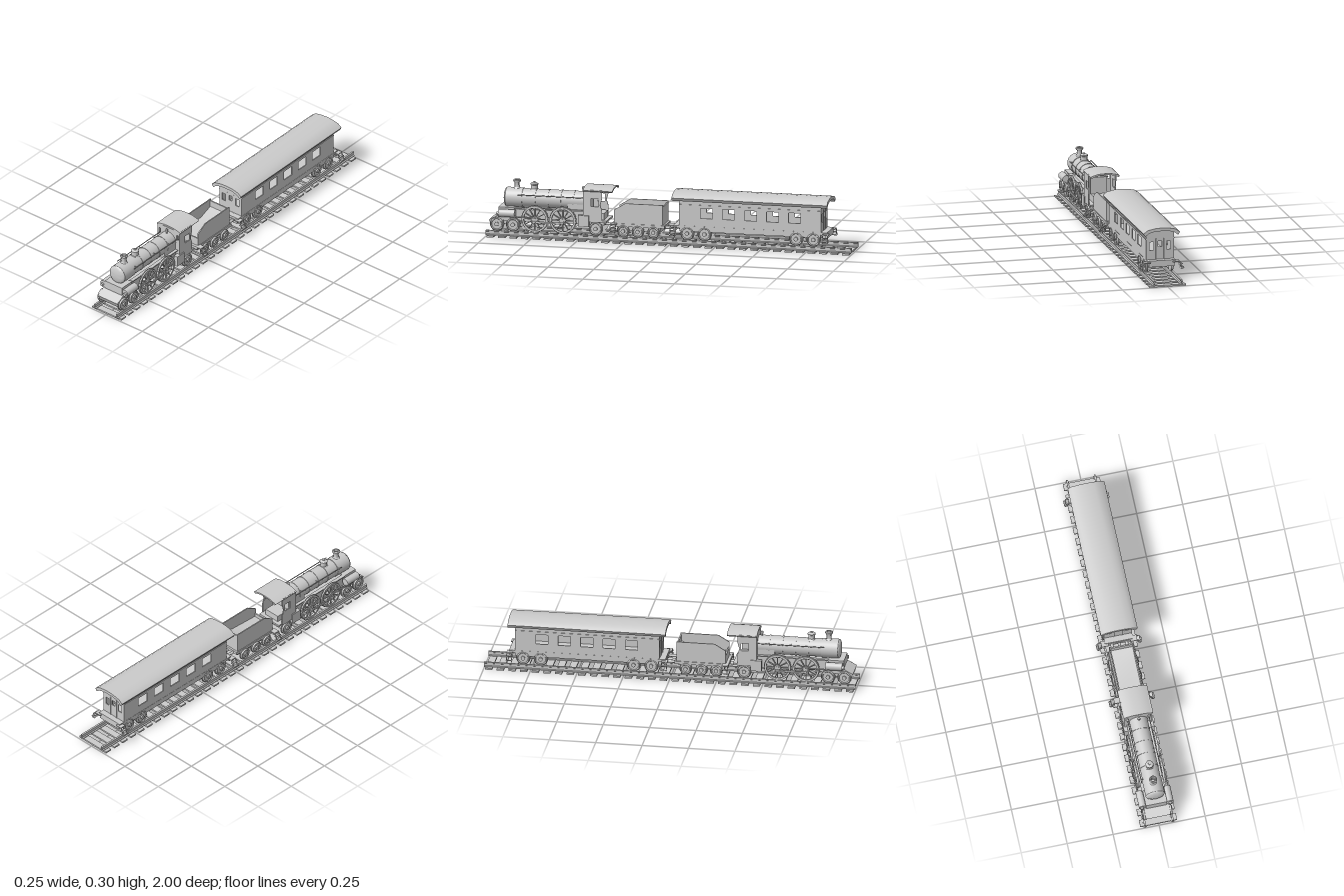
import * as THREE from 'three';
import { toCreasedNormals } from 'three/addons/utils/BufferGeometryUtils.js';

const mat = new THREE.MeshStandardMaterial({ color: 0xcccccc, side: THREE.DoubleSide });
const V2 = (p) => new THREE.Vector2(p[0], p[1]);

function add(parent, name, geo, x = 0, y = 0, z = 0) {
  const m = new THREE.Mesh(geo, mat);
  m.name = name;
  m.position.set(x, y, z);
  parent.add(m);
  return m;
}
function group(parent, name) {
  const g = new THREE.Group();
  g.name = name;
  parent.add(g);
  return g;
}
// Box given by its extents
function box(parent, name, x0, x1, y0, y1, z0, z1) {
  return add(parent, name, new THREE.BoxGeometry(x1 - x0, y1 - y0, z1 - z0), (x0 + x1) / 2, (y0 + y1) / 2, (z0 + z1) / 2);
}
const rectHole = (cx, cy, w, h) => [[cx - w / 2, cy - h / 2], [cx - w / 2, cy + h / 2], [cx + w / 2, cy + h / 2], [cx + w / 2, cy - h / 2]];
function extrude(points, depth, holes) {
  const s = new THREE.Shape(points.map(V2));
  for (const h of holes) s.holes.push(new THREE.Path(h.map(V2)));
  return toCreasedNormals(new THREE.ExtrudeGeometry(s, { depth, bevelEnabled: false }), 0.5);
}
// Cross-section (x, y) swept from z0 to z1
const sweepZ = (parent, name, pts, z0, z1, holes = []) => add(parent, name, extrude(pts, z1 - z0, holes), 0, 0, z0);
// Side profile (z, y) swept from x0 to x1
const sweepX = (parent, name, pts, x0, x1, holes = []) =>
  add(parent, name, extrude(pts, x1 - x0, holes).rotateY(-Math.PI / 2), x1, 0, 0);
// Cylinders along z and x
const tubeZ = (parent, name, r, x, y, z0, z1, n = 24) =>
  add(parent, name, new THREE.CylinderGeometry(r, r, z1 - z0, n).rotateX(Math.PI / 2), x, y, (z0 + z1) / 2);
const tubeX = (parent, name, r, x0, x1, y, z, n = 24) =>
  add(parent, name, new THREE.CylinderGeometry(r, r, x1 - x0, n).rotateZ(Math.PI / 2), (x0 + x1) / 2, y, z);
const lathe = (parent, name, pts, x, y, z) =>
  add(parent, name, toCreasedNormals(new THREE.LatheGeometry(pts.map(V2), 28), 0.6), x, y, z);

// Pair of solid wheels with flange and hub
function smallWheels(parent, z, r = 0.035) {
  const g = group(parent, 'smallWheelset');
  const y = 0.035 + r;
  tubeX(g, 'axle', 0.007, -0.08, 0.08, y, z, 12);
  for (const s of [-1, 1]) {
    const part = (name, rad, a, b) => tubeX(g, name, rad, Math.min(s * a, s * b), Math.max(s * a, s * b), y, z, 28);
    part('flange', r + 0.004, 0.064, 0.068);
    part('disc', r - 0.006, 0.068, 0.075);
    part('hub', 0.011, 0.068, 0.083);
    const rim = add(g, 'tyre', new THREE.TorusGeometry(r - 0.004, 0.005, 8, 28).rotateY(Math.PI / 2), s * 0.073, y, z);
    rim.scale.x = 1.2;
  }
}
// Pair of open spoked driving wheels
function drivingWheels(parent, z) {
  const g = group(parent, 'drivingWheelset');
  const y = 0.106, r = 0.071;
  tubeX(g, 'axle', 0.009, -0.082, 0.082, y, z, 14);
  for (const s of [-1, 1]) {
    const rim = [[r - 0.011, -0.005], [r + 0.003, -0.005], [r + 0.003, -0.002], [r, -0.002], [r, 0.006], [r - 0.011, 0.006], [r - 0.011, -0.005]];
    lathe(g, 'rim', rim, s * 0.071, y, z).rotation.z = -s * Math.PI / 2;
    tubeX(g, 'hub', 0.016, s * 0.071 - 0.008, s * 0.071 + 0.008, y, z);
    for (let i = 0; i < 12; i++) {
      const a = i * Math.PI / 6;
      const spoke = add(g, 'spoke', new THREE.BoxGeometry(0.006, 0.052, 0.005), s * 0.071, y + Math.cos(a) * 0.038, z + Math.sin(a) * 0.038);
      spoke.rotation.x = a;
    }
  }
}
// Splayed step ladders on both sides
function steps(parent, z) {
  for (const s of [-1, 1]) {
    const g = group(parent, 'steps');
    g.position.set(s * 0.096, 0.105, z);
    g.rotation.z = s * 0.42;
    for (const dz of [-0.014, 0.014]) box(g, 'stepRail', -0.003, 0.003, -0.048, 0, dz - 0.002, dz + 0.002);
    for (const y of [-0.044, -0.022]) box(g, 'tread', -0.01, 0.01, y, y + 0.004, -0.016, 0.016);
    box(parent, 'stepBracket', Math.min(s * 0.06, s * 0.097), Math.max(s * 0.06, s * 0.097), 0.1, 0.106, z - 0.016, z + 0.016);
  }
}
// Arched roof section with drooping eaves
function roofSection(w, top, drop, thick) {
  const up = [], low = [];
  for (let i = 0; i <= 12; i++) {
    const t = i / 6 - 1, y = top - drop * Math.pow(Math.abs(t), 2.4);
    up.push([t * w, y]);
    low.unshift([t * w * 0.92, y - thick]);
  }
  return [...up, ...low];
}

function buildTrack(root) {
  const g = group(root, 'track');
  for (let i = 0; i < 32; i++) {
    const z = -0.972 + i * 0.0627;
    box(g, 'sleeper', -0.1, 0.1, 0, 0.009, z - 0.019, z + 0.019);
  }
  const rail = [[-0.008, 0.009], [0.008, 0.009], [0.008, 0.012], [0.002, 0.015], [0.002, 0.027], [0.005, 0.029], [0.005, 0.035], [-0.005, 0.035], [-0.005, 0.029], [-0.002, 0.027], [-0.002, 0.015], [-0.008, 0.012]];
  for (const s of [-1, 1]) sweepZ(g, 'rail', rail.map(([x, y]) => [x + s * 0.075, y]), -1, 1);
}

function buildLocomotive(root) {
  const g = group(root, 'locomotive');
  // Boiler with rounded smokebox door and bands
  tubeZ(g, 'boiler', 0.049, 0, 0.206, 0.46, 0.83, 36);
  tubeZ(g, 'smokebox', 0.052, 0, 0.206, 0.81, 0.9, 36);
  lathe(g, 'smokeboxDoor', [[0.052, 0], [0.048, 0.006], [0.036, 0.011], [0.018, 0.014], [0, 0.015]], 0, 0.206, 0.9).rotation.x = Math.PI / 2;
  for (const z of [0.53, 0.6, 0.67, 0.74]) tubeZ(g, 'boilerBand', 0.051, 0, 0.206, z - 0.004, z + 0.004, 36);
  // Chimney, dome and whistle
  lathe(g, 'chimney', [[0.021, 0], [0.014, 0.01], [0.013, 0.034], [0.017, 0.036], [0.021, 0.043], [0.021, 0.047], [0.016, 0.051], [0.011, 0.051], [0.01, 0.03]], 0, 0.252, 0.846);
  lathe(g, 'dome', [[0.024, 0], [0.018, 0.007], [0.018, 0.027], [0.021, 0.029], [0.021, 0.034], [0.015, 0.039], [0.007, 0.041], [0.006, 0.045], [0, 0.046]], 0, 0.25, 0.752);
  lathe(g, 'whistle', [[0.004, 0], [0.004, 0.014], [0.007, 0.015], [0.007, 0.026], [0, 0.03]], 0, 0.252, 0.485);
  // Frame, saddle and front deck
  box(g, 'frame', -0.045, 0.045, 0.085, 0.15, 0.36, 0.9);
  box(g, 'firebox', -0.047, 0.047, 0.11, 0.206, 0.46, 0.56);
  box(g, 'smokeboxSaddle', -0.058, 0.058, 0.115, 0.16, 0.85, 0.935);
  sweepX(g, 'frontApron', [[0.87, 0.114], [0.94, 0.114], [0.985, 0.089], [0.968, 0.057], [0.955, 0.057], [0.93, 0.09], [0.87, 0.09]], -0.067, 0.067);
  for (const s of [-1, 1]) {
    // Cylinders, rods and running boards
    tubeZ(g, 'steamCylinder', 0.021, s * 0.073, 0.131, 0.84, 0.93, 24);
    tubeZ(g, 'cylinderCap', 0.009, s * 0.077, 0.129, 0.93, 0.94, 12);
    tubeZ(g, 'pistonRod', 0.004, s * 0.083, 0.115, 0.73, 0.85, 10);
    box(g, 'couplingRod', s * 0.084 - 0.003, s * 0.084 + 0.003, 0.087, 0.096, 0.57, 0.75);
    for (const z of [0.58, 0.733]) tubeX(g, 'crankPin', 0.007, s * 0.08 - 0.008, s * 0.08 + 0.008, 0.0915, z, 12);
    box(g, 'runningBoard', s * 0.053 - 0.01, s * 0.053 + 0.01, 0.157, 0.163, 0.46, 0.85);
    // Handrail and its posts
    tubeZ(g, 'handrail', 0.0025, s * 0.058, 0.23, 0.47, 0.83, 8);
    for (const z of [0.53, 0.65, 0.81]) tubeX(g, 'handrailPost', 0.002, s * 0.05 - 0.01, s * 0.05 + 0.01, 0.23, z, 8);
    box(g, 'sideBox', s * 0.07 - 0.012, s * 0.07 + 0.012, 0.08, 0.14, 0.436, 0.495);
    // Cab side with window
    sweepX(g, 'cabSide', [[0.365, 0.105], [0.465, 0.105], [0.465, 0.28], [0.365, 0.28], [0.365, 0.235], [0.375, 0.2], [0.365, 0.17]], s * 0.073 - 0.003, s * 0.073 + 0.003, [rectHole(0.404, 0.212, 0.042, 0.043)]);
  }
  // Cab front, floor and roof
  sweepZ(g, 'cabFront', [[-0.075, 0.105], [0.075, 0.105], [0.075, 0.28], [-0.075, 0.28]], 0.46, 0.468, [rectHole(-0.06, 0.24, 0.012, 0.03), rectHole(0.06, 0.24, 0.012, 0.03)]);
  box(g, 'cabFloor', -0.073, 0.073, 0.105, 0.115, 0.34, 0.465);
  box(g, 'boilerBackhead', -0.045, 0.045, 0.115, 0.24, 0.44, 0.462);
  sweepZ(g, 'cabRoof', roofSection(0.081, 0.292, 0.015, 0.008), 0.308, 0.469);
  // Wheels and bogie frames
  for (const z of [0.94, 0.852, 0.4]) smallWheels(g, z);
  for (const z of [0.733, 0.58]) drivingWheels(g, z);
  box(g, 'bogieFrame', -0.05, 0.05, 0.065, 0.09, 0.82, 0.95);
}

function buildTender(root) {
  const g = group(root, 'tender');
  // Open coal bunker
  const side = [[0.035, 0.1], [0.3, 0.1], [0.3, 0.178], [0.24, 0.214], [0.035, 0.214]];
  for (const s of [-1, 1]) sweepX(g, 'bunkerSide', side, s * 0.063 - 0.003, s * 0.063 + 0.003);
  box(g, 'bunkerBack', -0.063, 0.063, 0.1, 0.205, 0.035, 0.042);
  box(g, 'bunkerFront', -0.063, 0.063, 0.1, 0.15, 0.293, 0.3);
  sweepX(g, 'bunkerFloor', [[0.04, 0.1], [0.296, 0.1], [0.296, 0.13], [0.12, 0.14], [0.04, 0.17]], -0.062, 0.062);
  box(g, 'tenderSill', -0.07, 0.07, 0.088, 0.104, 0.025, 0.315);
  box(g, 'tenderFrame', -0.05, 0.05, 0.062, 0.09, 0.05, 0.29);
  for (const z of [0.25, 0.17, 0.085]) smallWheels(g, z, 0.03);
  steps(g, 0.3);
  tubeZ(g, 'frontCoupling', 0.008, 0, 0.085, 0.28, 0.37, 10);
}

function buildCarriage(root) {
  const g = group(root, 'carriage');
  const z0 = -0.833, z1 = -0.056;
  // Side walls with five windows
  const windows = [];
  for (let i = 0; i < 5; i++) windows.push(rectHole(-0.206 - i * 0.1205, 0.183, 0.066, 0.054));
  for (const s of [-1, 1]) {
    sweepX(g, 'sideWall', [[z0, 0.105], [z1, 0.105], [z1, 0.27], [z0, 0.27]], s * 0.073 - 0.003, s * 0.073 + 0.003, windows);
    box(g, 'beltRail', s * 0.077 - 0.002, s * 0.077 + 0.002, 0.222, 0.228, z0, z1);
  }
  // End walls with a door and two windows
  const endHoles = [rectHole(-0.047, 0.185, 0.024, 0.044), rectHole(0.047, 0.185, 0.024, 0.044), rectHole(0, 0.195, 0.022, 0.03)];
  for (const [a, b, out] of [[z0, z0 + 0.006, -1], [z1 - 0.006, z1, 1]]) {
    sweepZ(g, 'endWall', [[-0.073, 0.105], [0.073, 0.105], [0.073, 0.272], [0, 0.284], [-0.073, 0.272]], a, b, endHoles);
    const zf = out > 0 ? b : a;
    for (const x of [-0.022, 0.022]) box(g, 'doorPost', x - 0.002, x + 0.002, 0.11, 0.225, zf - 0.003, zf + 0.003);
  }
  // Roof, floor and underframe
  const roof = [[-0.1, 0.264], [-0.078, 0.281], [-0.04, 0.289], [0, 0.292], [0.04, 0.289], [0.078, 0.281], [0.1, 0.264], [0.091, 0.248], [0.07, 0.264], [0.035, 0.274], [-0.035, 0.274], [-0.07, 0.264], [-0.091, 0.248]];
  sweepZ(g, 'roof', roof.reverse(), -0.87, -0.02);
  box(g, 'floor', -0.077, 0.077, 0.098, 0.112, -0.865, -0.024);
  for (const s of [-1, 1]) box(g, 'sideSill', s * 0.071 - 0.005, s * 0.071 + 0.005, 0.082, 0.098, -0.83, -0.06);
  box(g, 'underframe', -0.045, 0.045, 0.07, 0.1, -0.82, -0.07);
  for (const z of [-0.1, -0.195, -0.695, -0.79]) smallWheels(g, z);
  // End steps and buffers
  for (const z of [-0.027, -0.86]) {
    steps(g, z);
    box(g, 'headstock', -0.07, 0.07, 0.078, 0.1, z - 0.005, z + 0.005);
  }
  for (const x of [-0.04, 0.04]) tubeZ(g, 'buffer', 0.008, x, 0.09, -0.03, 0.03, 12);
  tubeZ(g, 'coupling', 0.008, 0, 0.085, -0.04, 0.06, 10);
}

export function createModel() {
  const root = new THREE.Group();
  root.name = 'steamTrain';
  buildTrack(root);
  buildLocomotive(root);
  buildTender(root);
  buildCarriage(root);
  return root;
}
